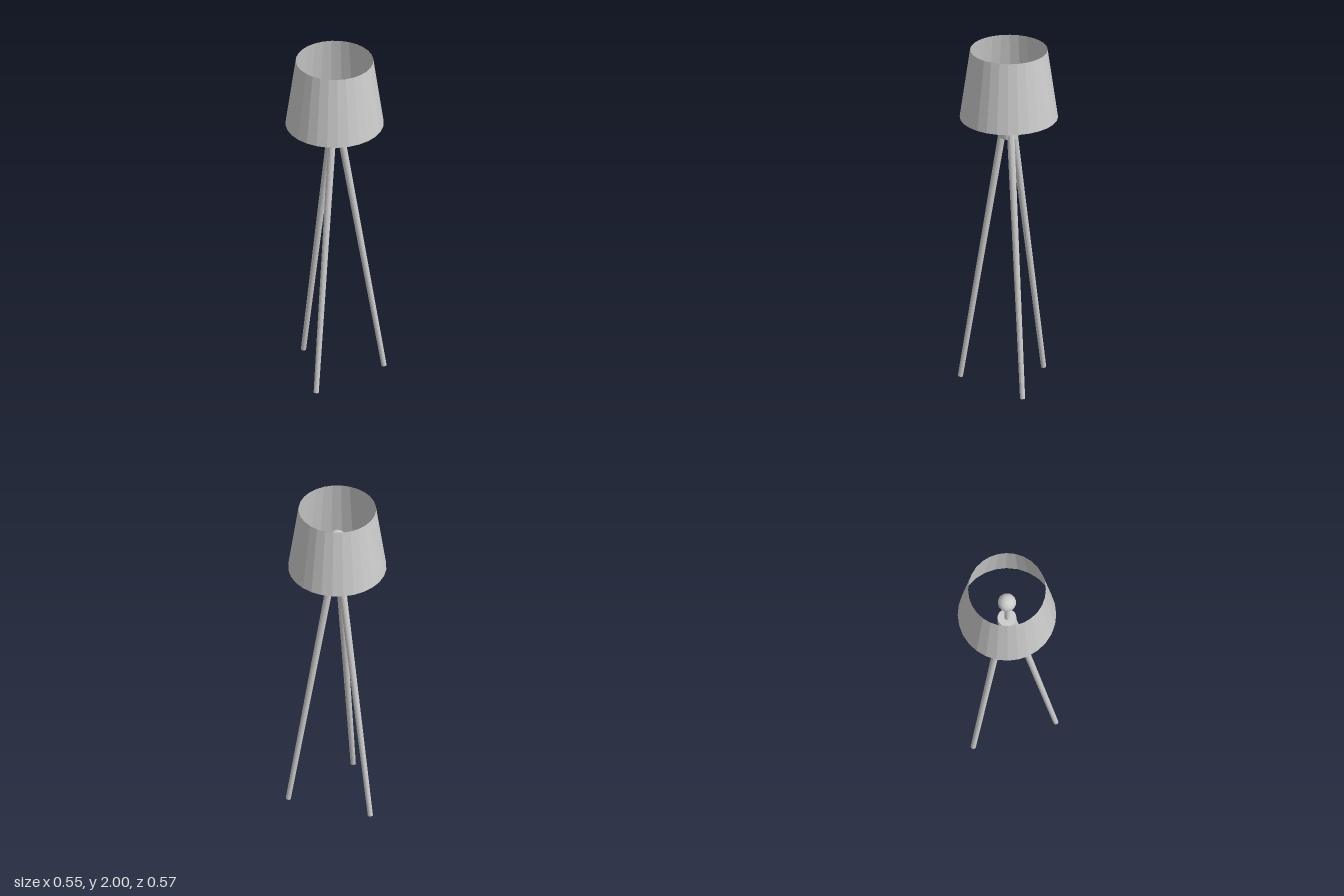
import * as THREE from 'three';

export function createModel() {
  const lamp = new THREE.Group();
  lamp.name = 'tripodFloorLamp';
  lamp.position.z = -0.01;

  const grey = new THREE.MeshStandardMaterial({ color: 0xcccccc, flatShading: true, side: THREE.DoubleSide });
  grey.name = 'plain grey';

  const add = (name, geometry, x = 0, y = 0, z = 0) => {
    const mesh = new THREE.Mesh(geometry, grey);
    mesh.name = name;
    mesh.position.set(x, y, z);
    lamp.add(mesh);
    return mesh;
  };

  // Open tapered shade
  add('shade', new THREE.CylinderGeometry(0.217, 0.275, 0.405, 28, 1, true), 0, 1.7975, 0);

  // Bulb on its stem
  add('bulb', new THREE.SphereGeometry(0.052, 16, 12), 0, 1.79, 0);
  add('stem', new THREE.CylinderGeometry(0.013, 0.013, 0.24, 16), 0, 1.64, 0);

  // Collar that holds the legs
  add('collar', new THREE.CylinderGeometry(0.053, 0.053, 0.064, 24), 0, 1.508, 0);

  // Three splayed legs, thinner at the foot
  const up = new THREE.Vector3(0, 1, 0);
  for (let i = 0; i < 3; i++) {
    const angle = (i * Math.PI * 2) / 3;
    const at = (r, y) => new THREE.Vector3(Math.sin(angle) * r, y, Math.cos(angle) * r);
    const foot = at(0.279, 0.003);
    const top = at(0.034, 1.525);
    const axis = top.clone().sub(foot);
    const leg = add(`leg${i + 1}`, new THREE.CylinderGeometry(0.021, 0.0145, axis.length(), 16));
    leg.position.copy(foot).add(top).multiplyScalar(0.5);
    leg.quaternion.setFromUnitVectors(up, axis.normalize());
  }

  const model = new THREE.Group();
  model.name = 'floorLamp';
  model.add(lamp);
  return model;
}
